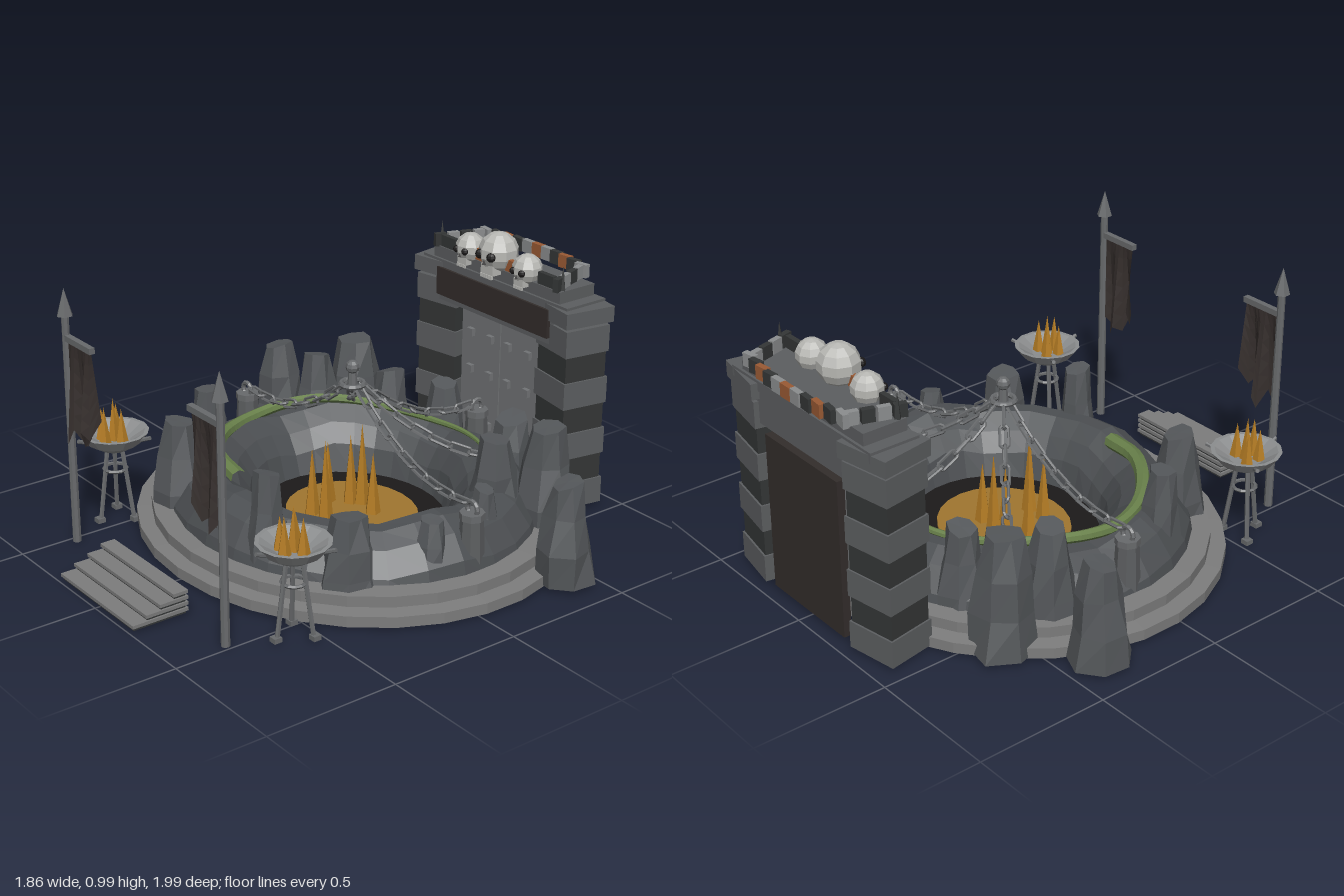
import * as THREE from 'three';

const V = (x, y, z) => new THREE.Vector3(x, y, z);
const mat = (color, side = THREE.FrontSide) =>
  new THREE.MeshStandardMaterial({ color, side, flatShading: true });
const M = {
  rock: mat(0x54575a), mound: mat(0x4c4f52, THREE.DoubleSide), plinth: mat(0x7c7c7c, THREE.DoubleSide),
  dark: mat(0x343636), stone: mat(0x5c5e60), door: mat(0x727476), panel: mat(0x332d2b),
  cloth: mat(0x362f2d, THREE.DoubleSide), iron: mat(0x686a6c), bowl: mat(0x8c8e8f, THREE.DoubleSide),
  bone: mat(0xb8b8b4), black: mat(0x1c1a1a), gold: mat(0xa07630), flame: mat(0xb47c24),
  vine: mat(0x68804a), rust: mat(0x9a5a34),
};

function add(parent, name, geo, material, x = 0, y = 0, z = 0) {
  const mesh = new THREE.Mesh(geo, material);
  mesh.name = name;
  mesh.position.set(x, y, z);
  parent.add(mesh);
  return mesh;
}
function sub(parent, name, x = 0, y = 0, z = 0) {
  const g = new THREE.Group();
  g.name = name;
  g.position.set(x, y, z);
  parent.add(g);
  return g;
}
const box = (w, h, d) => new THREE.BoxGeometry(w, h, d);
const cyl = (rt, rb, h, n = 8) => new THREE.CylinderGeometry(rt, rb, h, n);
const cone = (r, h, n = 5) => new THREE.ConeGeometry(r, h, n);
const lathe = (pts, n) => new THREE.LatheGeometry(pts.map(p => new THREE.Vector2(...p)), n);
function rod(parent, name, a, b, r, material) {
  const m = add(parent, name, cyl(r, r, a.distanceTo(b), 6), material);
  m.position.copy(a).lerp(b, 0.5);
  m.quaternion.setFromUnitVectors(V(0, 1, 0), b.clone().sub(a).normalize());
}

// Tapered rock pillar, roughened by a position-based rule so seams stay closed
function rock(parent, x, z, r, top, seed) {
  const base = 0.015, h = top - base, geo = new THREE.CylinderGeometry(r * 0.5, r, h, 7, 3);
  const p = geo.attributes.position;
  for (let i = 0; i < p.count; i++) {
    const a = p.getX(i), b = p.getY(i), c = p.getZ(i), t = b / h + 0.5;
    const k = 1 + 0.12 * Math.sin(a * 61 + b * 23 + c * 47 + seed * 2.3) + 0.05 * Math.sin(Math.PI * t);
    const tilt = t > 0.9 ? a * 0.3 * Math.sin(seed) - 0.006 : 0;
    p.setXYZ(i, a * k, b + tilt, c * k);
  }
  geo.computeVertexNormals();
  add(parent, 'rock', geo, M.rock, x, base + h / 2, z).rotation.y = seed * 0.6;
}

// Chain of elongated links along a sagging curve
const linkGeo = new THREE.TorusGeometry(0.016, 0.006, 5, 10);
{
  const p = linkGeo.attributes.position;
  for (let i = 0; i < p.count; i++) p.setX(i, p.getX(i) + Math.sign(Math.round(p.getX(i) * 1e4)) * 0.028);
  linkGeo.computeVertexNormals();
}
function chain(parent, a, b, sag) {
  const g = sub(parent, 'chain'), mid = a.clone().lerp(b, 0.5);
  mid.y -= sag;
  const curve = new THREE.QuadraticBezierCurve3(a, mid, b);
  const n = Math.round(curve.getLength() / 0.072);
  for (let i = 0; i < n; i++) {
    const t = (i + 0.5) / n, link = add(g, 'chainLink', linkGeo, M.iron);
    link.position.copy(curve.getPointAt(t));
    link.quaternion.setFromUnitVectors(V(1, 0, 0), curve.getTangentAt(t));
    link.rotateX(i % 2 ? 0 : Math.PI / 2);
  }
}

function skull(parent, x, y, z, r) {
  const g = sub(parent, 'skull', x, y, z);
  g.scale.setScalar(r);
  add(g, 'cranium', new THREE.SphereGeometry(1, 9, 7), M.bone);
  add(g, 'jaw', box(0.85, 0.5, 0.6), M.bone, 0, -0.78, 0.45);
  add(g, 'nose', cone(0.13, 0.25, 3), M.black, 0, -0.35, 0.95);
  for (const s of [-1, 1]) add(g, 'eyeSocket', new THREE.SphereGeometry(0.24, 8, 6), M.black, s * 0.4, -0.05, 0.84);
  for (let i = -2; i <= 2; i++) add(g, 'tooth', box(0.12, 0.2, 0.12), M.bone, i * 0.17, -1.1, 0.75);
}

function buildGate(root) {
  const g = sub(root, 'gate', 0, 0, -0.855);
  for (const s of [-1, 1]) {
    // Pillars of alternating stone courses
    const p = sub(g, 'pillar', s * 0.338, 0, 0);
    p.rotation.y = -s * 0.17;
    for (let i = 0; i < 7; i++) {
      const k = i % 2 ? 0.183 : 0.197;
      add(p, 'stoneCourse', box(k, 0.102, k - 0.01), i % 2 ? M.dark : M.stone, 0, 0.065 + i * 0.101, 0);
    }
    add(p, 'pillarCap', box(0.215, 0.06, 0.205), M.stone, 0, 0.765, 0);
    // Double door leaf with studs
    add(g, 'doorLeaf', box(0.217, 0.6, 0.03), M.door, s * 0.111, 0.32, 0.03);
    for (const y of [0.18, 0.39, 0.54]) for (const x of [0.05, 0.16])
      add(g, 'doorStud', box(0.03, 0.03, 0.02), M.door, s * x, y, 0.052);
    // Corner spikes and side tiles of the crown
    add(g, 'cornerSpike', cone(0.015, 0.1, 4), M.dark, s * 0.335, 0.895, 0.06);
    for (let i = 0; i < 4; i++) {
      const t = add(g, 'crownTile', box(0.022, 0.05, 0.045), i % 2 ? M.dark : M.bowl, s * (0.275 + i * 0.018), 0.873, -0.075 + i * 0.05);
      t.rotation.y = s * 0.3;
    }
    add(g, 'frontTile', box(0.06, 0.045, 0.02), M.rust, s * 0.085, 0.875, 0.075);
    add(g, 'frontTile', box(0.08, 0.045, 0.02), M.dark, s * 0.27, 0.875, 0.075);
  }
  add(g, 'backPanel', box(0.42, 0.6, 0.03), M.panel, 0, 0.32, -0.085);
  add(g, 'lintel', box(0.66, 0.15, 0.18), M.stone, 0, 0.715, 0);
  add(g, 'lintelPanel', box(0.62, 0.11, 0.03), M.panel, 0, 0.72, 0.09);
  add(g, 'cornice', box(0.8, 0.04, 0.19), M.stone, 0, 0.785, 0);
  add(g, 'crownBase', box(0.7, 0.05, 0.17), M.stone, 0, 0.825, 0);
  // Curved row of tiles along the back
  for (let i = -5; i <= 5; i++) {
    const t = add(g, 'crownTile', box(0.054, 0.05, 0.022), i % 3 === 0 ? M.rust : i % 2 ? M.bowl : M.dark,
      i * 0.053, 0.875, -0.132 + 0.0012 * i * i);
    t.rotation.y = i * 0.035;
  }
  skull(g, 0, 0.91, 0.07, 0.077);
  for (const s of [-1, 1]) skull(g, s * 0.158, 0.885, 0.07, 0.058);
}

function buildBrazier(root, s) {
  const g = sub(root, 'brazier', s * 0.555, 0, 0.57);
  add(g, 'bowl', lathe([[0, 0.27], [0.05, 0.28], [0.1, 0.31], [0.13, 0.35], [0.115, 0.35], [0.06, 0.315], [0, 0.31]], 14), M.bowl);
  add(g, 'legRing', new THREE.TorusGeometry(0.042, 0.007, 5, 12).rotateX(Math.PI / 2), M.iron, 0, 0.2, 0);
  for (let i = 0; i < 3; i++) {
    const a = Math.PI / 2 + i * Math.PI * 2 / 3, c = Math.cos(a), d = Math.sin(a);
    rod(g, 'leg', V(c * 0.03, 0.29, d * 0.03), V(c * 0.07, 0.01, d * 0.07), 0.009, M.iron);
    add(g, 'foot', box(0.03, 0.018, 0.03), M.iron, c * 0.075, 0.01, d * 0.075);
    rod(g, 'rimStud', V(c * 0.11, 0.33, d * 0.11), V(c * 0.15, 0.345, d * 0.15), 0.008, M.iron);
  }
  for (const [x, z, h] of [[0, 0, 0.16], [-0.04, -0.035, 0.12], [0.04, -0.01, 0.13], [-0.035, 0.03, 0.12], [0.01, 0.045, 0.14]])
    add(g, 'flame', cone(0.024, h), M.flame, x, 0.315 + h / 2, z);
}

function buildBanner(root, s) {
  const g = sub(root, 'banner', s * 0.475, 0, 0.79);
  add(g, 'pole', cyl(0.014, 0.016, 0.88), M.iron, 0, 0.44, 0);
  add(g, 'poleTip', cone(0.03, 0.1, 6), M.iron, 0, 0.92, 0);
  add(g, 'crossbar', box(0.18, 0.022, 0.022), M.iron, -s * 0.085, 0.79, 0);
  // Gently folded cloth with a ragged hem
  const cloth = new THREE.PlaneGeometry(0.15, 1, 8, 6), p = cloth.attributes.position;
  const hem = [0.44, 0.4, 0.46, 0.39, 0.43, 0.41, 0.48, 0.45, 0.52];
  for (let i = 0; i < p.count; i++) {
    const t = 0.5 - p.getY(i), c = i % 9;
    p.setXYZ(i, -s * (0.015 + c * 0.019), 0.785 - t * (0.785 - hem[c]), Math.sin(c * 1.3) * 0.035 * t);
  }
  cloth.computeVertexNormals();
  add(g, 'cloth', cloth, M.cloth);
}

export function createModel() {
  const root = new THREE.Group();
  root.name = 'pitArena';

  // Oval plinth (open below), mound and pit
  const oval = sub(root, 'ovalPit', 0, 0, -0.1);
  oval.scale.z = 0.9;
  add(oval, 'steppedPlinth', lathe([[0.78, 0.01], [0.85, 0.01], [0.85, 0.05], [0.79, 0.055], [0.79, 0.095], [0.7, 0.1]], 30), M.plinth);
  const mound = lathe([[0.735, 0.04], [0.71, 0.13], [0.65, 0.21], [0.58, 0.25], [0.52, 0.25], [0.45, 0.2], [0.4, 0.13], [0.37, 0.03]], 30);
  const mp = mound.attributes.position;
  for (let i = 0; i < mp.count; i++) {
    const a = Math.atan2(mp.getZ(i), mp.getX(i)), y = mp.getY(i);
    mp.setY(i, y + (y > 0.1 ? 0.012 * Math.sin(a * 5 + 1) + 0.008 * Math.sin(a * 9) : 0));
  }
  mound.computeVertexNormals();
  add(oval, 'mound', mound, M.mound);
  add(oval, 'pitFloor', cyl(0.375, 0.375, 0.02, 30), M.black, 0, 0.025, 0);
  add(oval, 'goldFloor', cyl(0.262, 0.262, 0.012, 24), M.gold, 0, 0.04, 0);

  // Gold spikes in the pit
  [[-0.12, -0.08, 0.24], [-0.07, 0.03, 0.26], [0.01, 0.03, 0.32], [0.06, -0.15, 0.24], [-0.03, -0.17, 0.32], [-0.06, -0.14, 0.27]]
    .forEach(([x, z, h]) => add(root, 'goldSpike', cone(0.03, h), M.flame, x, 0.045 + h / 2, z));

  // Rocks: x, z, base radius, top height
  [[-0.83, -0.37, 0.11, 0.39], [0.82, -0.39, 0.11, 0.39], [-0.57, -0.56, 0.13, 0.45], [-0.59, -0.38, 0.105, 0.42],
    [-0.36, -0.57, 0.1, 0.38], [-0.55, 0.16, 0.09, 0.42], [-0.38, 0.4, 0.115, 0.41], [0.21, 0.43, 0.085, 0.43],
    [0.5, 0.3, 0.115, 0.34], [0.62, 0.04, 0.075, 0.3], [0.58, -0.23, 0.07, 0.32], [0.45, -0.39, 0.11, 0.42],
    [0.535, -0.56, 0.12, 0.45], [0.24, -0.66, 0.11, 0.36], [-0.17, -0.68, 0.1, 0.36]]
    .forEach((r, i) => rock(root, ...r, i + 1));

  // Tapering vine along the rim
  const pts = [];
  for (let i = 0; i <= 12; i++) {
    const a = 1.74 + i * 0.315, r = i === 0 ? 0.52 : 0.54;
    pts.push(V(r * Math.cos(a), 0.268 + 0.012 * Math.sin(i * 1.3), -0.1 + r * 0.86 * Math.sin(a)));
  }
  const path = new THREE.CatmullRomCurve3(pts);
  const vine = new THREE.TubeGeometry(path, 48, 1, 7), vp = vine.attributes.position, o = V(0, 0, 0);
  for (let i = 0; i < vp.count; i++) {
    const t = Math.floor(i / 8) / 48, c = path.getPointAt(t);
    o.fromBufferAttribute(vp, i).sub(c).multiplyScalar(0.031 - 0.026 * t).add(c);
    vp.setXYZ(i, o.x, o.y, o.z);
  }
  vine.computeVertexNormals();
  add(root, 'vine', vine, M.vine);

  // Chain hub and the five chains with their anchors
  const hub = sub(root, 'chainHub', 0, 0, -0.1);
  add(hub, 'hubBall', new THREE.SphereGeometry(0.026, 8, 6), M.iron, 0, 0.615, 0);
  add(hub, 'hubStem', cyl(0.014, 0.02, 0.08), M.iron, 0, 0.57, 0);
  add(hub, 'hubRing', new THREE.TorusGeometry(0.042, 0.01, 6, 14).rotateX(Math.PI / 2), M.iron, 0, 0.55, 0);
  for (const [x, z, sag, post] of [[-0.665, -0.1, 0.15, 1], [0.665, -0.1, 0.15, 1], [0, -0.7, 0.13, 1], [-0.43, -0.43, 0.1, 0], [0.43, -0.43, 0.1, 0]]) {
    const out = V(x, 0, z + 0.1).normalize();
    chain(root, V(out.x * 0.04, 0.54, -0.1 + out.z * 0.04), V(x - out.x * 0.03, 0.325, z - out.z * 0.03), sag);
    if (!post) continue;
    const a = sub(root, 'chainAnchor', x, 0, z);
    add(a, 'anchorPost', cyl(0.04, 0.05, 0.22), M.stone, 0, 0.18, 0);
    add(a, 'anchorCap', cyl(0.045, 0.045, 0.025), M.iron, 0, 0.285, 0);
    add(a, 'anchorRing', new THREE.TorusGeometry(0.026, 0.009, 6, 12), M.iron, 0, 0.31, 0).rotation.y = -Math.atan2(out.z, out.x);
  }

  buildGate(root);
  for (const s of [-1, 1]) {
    buildBrazier(root, s);
    buildBanner(root, s);
  }

  // Front steps: treads overhanging darker risers
  const steps = sub(root, 'frontSteps');
  for (let i = 0; i < 4; i++) {
    const d = 0.22 - i * 0.054, y = 0.01 + i * 0.022, z = 0.885 - i * 0.027;
    add(steps, 'riser', box(0.455, 0.012, d - 0.014), M.dark, 0, y + 0.006, z);
    add(steps, 'tread', box(0.47, 0.012, d), M.plinth, 0, y + 0.017, z);
  }
  return root;
}
